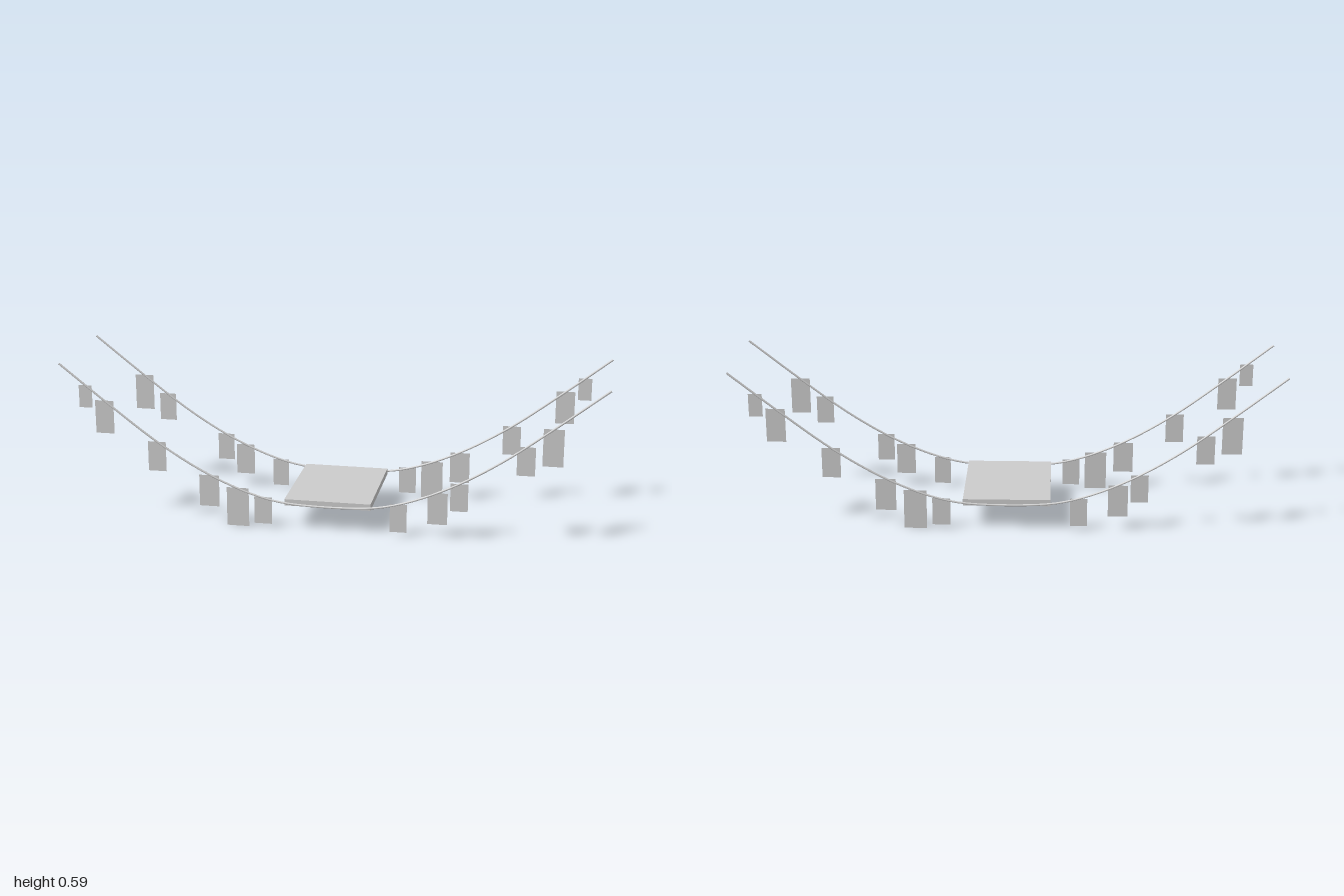
import * as THREE from 'three';

const material = new THREE.MeshStandardMaterial({ color: 0xcccccc });
const flagMaterial = new THREE.MeshStandardMaterial({ color: 0xcccccc, side: THREE.DoubleSide });

// Half of the sagging rope, from the middle to the right-hand end: [x, y]
const sag = [[0.16, 0.1], [0.25, 0.118], [0.35, 0.152], [0.48, 0.213], [0.635, 0.308], [0.82, 0.447], [0.997, 0.587]];

// Flags on the front rope: [centre x, top y, bottom y, width]
const flags = [
  [-0.9, 0.51, 0.425, 0.05], [-0.83, 0.455, 0.33, 0.07], [-0.635, 0.308, 0.195, 0.068],
  [-0.44, 0.19, 0.07, 0.075], [-0.333, 0.148, 0, 0.083], [-0.238, 0.118, 0.015, 0.066],
  [0.263, 0.122, 0.015, 0.062], [0.405, 0.175, 0.055, 0.072], [0.482, 0.215, 0.11, 0.064],
  [0.715, 0.367, 0.26, 0.065], [0.808, 0.438, 0.3, 0.073],
];

function createRopeLine(name) {
  const line = new THREE.Group();
  line.name = name;

  // Rope
  const points = [
    ...sag.map(([x, y]) => new THREE.Vector3(-x, y, 0.21)).reverse(),
    new THREE.Vector3(0, 0.093, 0.21),
    ...sag.map(([x, y]) => new THREE.Vector3(x, y, 0.21)),
  ];
  const curve = new THREE.CatmullRomCurve3(points);
  const rope = new THREE.Mesh(new THREE.TubeGeometry(curve, 64, 0.004, 8), material);
  rope.name = 'rope';
  line.add(rope);

  // Hanging flags
  for (const [x, top, bottom, width] of flags) {
    const flag = new THREE.Mesh(new THREE.PlaneGeometry(width, top - bottom), flagMaterial);
    flag.name = 'flag';
    flag.position.set(x, (top + bottom) / 2, 0.211);
    line.add(flag);
  }
  return line;
}

export function createModel() {
  const model = new THREE.Group();
  model.name = 'hangingSeat';

  // The back rope is the front one turned half way round
  const back = createRopeLine('backRopeLine');
  back.rotation.y = Math.PI;
  model.add(createRopeLine('frontRopeLine'), back);

  // Seat board between the ropes
  const seat = new THREE.Mesh(new THREE.BoxGeometry(0.32, 0.024, 0.406), material);
  seat.name = 'seat';
  seat.position.y = 0.1;
  model.add(seat);
  return model;
}
